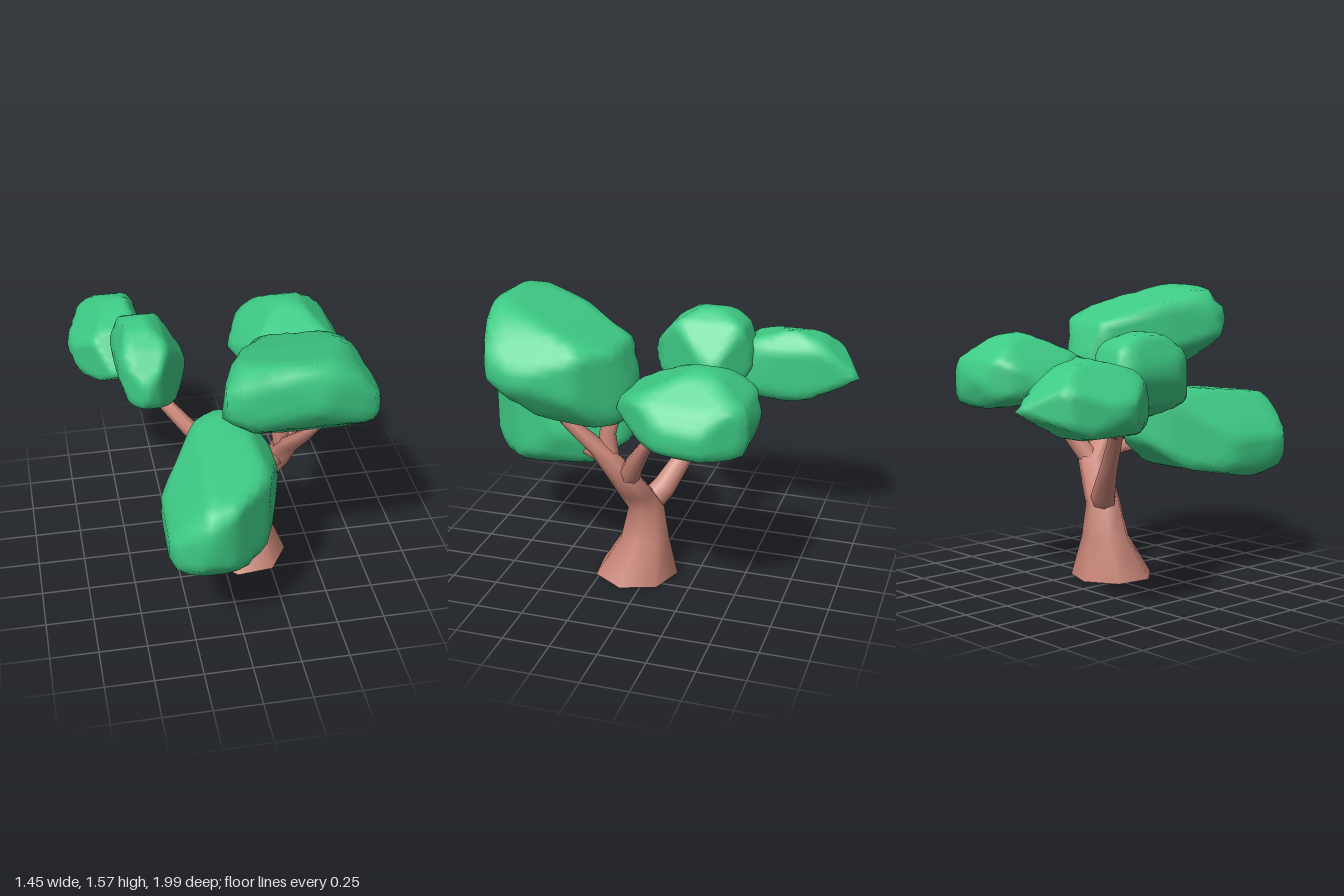
import * as THREE from 'three';
import { mergeVertices } from 'three/addons/utils/BufferGeometryUtils.js';

const bark = new THREE.MeshStandardMaterial({ color: 0xc98577, side: THREE.DoubleSide });
const leaf = new THREE.MeshStandardMaterial({ color: 0x3ecb85 });

// Tapered limb through [x, y, z, radius] stations, open at its foot; upright keeps its rings level
function limb(name, stations, upright = false) {
  const sides = 7;
  const pts = stations.map(s => new THREE.Vector3(s[0], s[1], s[2]));
  const up = new THREE.Vector3(0, 1, 0);
  const pos = [], idx = [];
  const last = pts.length - 1;
  pts.forEach((p, i) => {
    const dir = pts[Math.min(i + 1, last)].clone().sub(pts[Math.max(i - 1, 0)]).normalize();
    const q = new THREE.Quaternion().setFromUnitVectors(up, upright ? up : dir);
    for (let k = 0; k < sides; k++) {
      const a = ((k + 0.62) / sides) * Math.PI * 2;
      const r = stations[i][3];
      const v = new THREE.Vector3(Math.sin(a) * r, 0, Math.cos(a) * r).applyQuaternion(q).add(p);
      pos.push(v.x, v.y, v.z);
    }
  });
  for (let i = 0; i < last; i++) {
    for (let k = 0; k < sides; k++) {
      const a = i * sides + k, b = i * sides + (k + 1) % sides;
      idx.push(a, b, b + sides, a, b + sides, a + sides);
    }
  }
  // tip cap with its own corners, so the rim stays sharp
  const base = pos.length / 3;
  pos.push(...pos.slice(last * sides * 3));
  for (let k = 1; k < sides - 1; k++) idx.push(base, base + k, base + k + 1);

  const geo = new THREE.BufferGeometry();
  geo.setAttribute('position', new THREE.Float32BufferAttribute(pos, 3));
  geo.setIndex(idx);
  geo.computeVertexNormals();
  const mesh = new THREE.Mesh(geo, bark);
  mesh.name = name;
  return mesh;
}

// How far direction (u, v) from the centre reaches towards a convex outline (1 = on it)
function gauge(outline, cu, cv, u, v) {
  let g = 0;
  outline.forEach(([au, av], i) => {
    const [bu, bv] = outline[(i + 1) % outline.length];
    const nu = bv - av, nv = au - bu;
    g = Math.max(g, (nu * u + nv * v) / (nu * (au - cu) + nv * (av - cv)));
  });
  return g;
}

// Foliage clump: a ball fitted into a front (x,y), side (z,y) and top (x,z) outline
function clump(name, front, side, top) {
  const span = (o, k) => {
    const c = o.map(p => p[k]), lo = Math.min(...c), hi = Math.max(...c);
    return [(lo + hi) / 2, (hi - lo) / 2];
  };
  const [cx, sx] = span(front, 0), [cy, sy] = span(front, 1), [cz, sz] = span(side, 0);
  let geo = new THREE.IcosahedronGeometry(1, 7);
  geo.deleteAttribute('uv');
  geo.deleteAttribute('normal');
  geo = mergeVertices(geo, 1e-4);
  const p = geo.attributes.position;
  for (let i = 0; i < p.count; i++) {
    const x = p.getX(i) * sx, y = p.getY(i) * sy, z = p.getZ(i) * sz;
    const g = [gauge(front, cx, cy, x, y), gauge(side, cz, cy, z, y), gauge(top, cx, cz, x, z)];
    // rounds off the corners where the three outlines meet
    const soft = Math.cbrt(g.reduce((s, t) => s + t ** 3, 0) / 2.4);
    const r = 1 / Math.max(...g, soft);
    p.setXYZ(i, cx + x * r, cy + y * r, cz + z * r);
  }
  geo.computeVertexNormals();
  const mesh = new THREE.Mesh(geo, leaf);
  mesh.name = name;
  return mesh;
}

export function createModel() {
  const tree = new THREE.Group();
  tree.name = 'tree';

  // Trunk, running on into the front branch, and the other branches
  tree.add(
    limb('trunk', [[0.137, 0, 0.077, 0.226], [0.138, 0.22, 0.03, 0.132], [0.143, 0.4, 0.02, 0.098],
      [0.22, 0.51, 0.05, 0.095], [0.305, 0.63, 0.085, 0.085], [0.33, 0.77, 0.19, 0.068],
      [0.37, 0.9, 0.32, 0.05], [0.42, 1.05, 0.46, 0.018]], true),
    limb('frontFork', [[0.32, 0.7, 0.15, 0.05], [0.29, 0.86, 0.18, 0.045], [0.28, 1, 0.14, 0.038]]),
    limb('leftBranch', [[0.29, 0.6, 0.08, 0.06], [0.38, 0.74, 0.01, 0.05], [0.52, 0.99, -0.14, 0.022]]),
    limb('lowBranch', [[0.3, 0.64, 0.1, 0.05], [0.22, 0.69, 0.24, 0.038], [0.12, 0.69, 0.43, 0.012]]),
    limb('rightBranch', [[0.15, 0.4, 0.02, 0.072], [0.06, 0.48, -0.05, 0.065],
      [-0.1, 0.66, -0.15, 0.047], [-0.29, 0.86, -0.27, 0.035], [-0.42, 0.93, -0.46, 0.012]]),
    limb('rightFork', [[-0.28, 0.84, -0.27, 0.03], [-0.3, 0.9, -0.28, 0.03], [-0.31, 0.98, -0.27, 0.018]])
  );

  // Foliage
  tree.add(
    clump('topFoliage',
      [[-0.12, 1.42], [-0.1, 1.3], [0.2, 1.07], [0.36, 0.96], [0.5, 0.96], [0.59, 1.05], [0.71, 1.22],
        [0.69, 1.31], [0.57, 1.46], [0.44, 1.56], [0.23, 1.59], [0.1, 1.58], [0, 1.54]],
      [[0.78, 1.35], [0.75, 1.55], [0.7, 1.59], [0.35, 1.47], [0.08, 1.39], [0, 1.18], [0.03, 0.97],
        [0.2, 0.96], [0.45, 1.03], [0.7, 1.22]],
      [[-0.12, 0.71], [0.02, 0.38], [0.2, 0.05], [0.3, -0.02], [0.42, 0], [0.65, 0.22], [0.71, 0.5],
        [0.66, 0.68], [0.35, 0.78]]),
    clump('frontFoliage',
      [[-0.39, 0.6], [-0.29, 0.53], [0.05, 0.53], [0.16, 0.62], [0.22, 0.78], [0.2, 0.9], [0.09, 1.02],
        [-0.06, 1.05], [-0.17, 1.01], [-0.33, 0.83], [-0.39, 0.75]],
      [[1, 0.82], [0.97, 0.92], [0.9, 0.98], [0.4, 1.03], [0.2, 1.05], [0.1, 0.87], [0.12, 0.75],
        [0.3, 0.6], [0.7, 0.53], [0.88, 0.53], [0.97, 0.65]],
      [[-0.39, 0.9], [-0.2, 1], [-0.08, 0.95], [0.12, 0.75], [0.22, 0.5], [0.2, 0.3], [0.1, 0.11],
        [-0.07, 0.13], [-0.16, 0.2], [-0.38, 0.5]]),
    clump('leftFoliage',
      [[0.73, 1.08], [0.72, 0.97], [0.64, 0.92], [0.4, 0.94], [0.2, 1], [0.11, 1.07], [0.2, 1.18],
        [0.33, 1.3], [0.42, 1.34], [0.52, 1.31], [0.66, 1.19]],
      [[0.07, 1.08], [0.03, 1.17], [-0.1, 1.23], [-0.33, 1.34], [-0.45, 1.31], [-0.6, 1.2],
        [-0.64, 1.09], [-0.6, 0.95], [-0.45, 0.92], [-0.2, 0.95]],
      [[0.11, -0.36], [0.2, -0.55], [0.35, -0.64], [0.6, -0.62], [0.73, -0.42], [0.72, -0.2],
        [0.62, -0.05], [0.5, 0.06], [0.32, 0.06], [0.2, -0.15]]),
    clump('backFoliage',
      [[-0.73, 1], [-0.71, 1.07], [-0.53, 1.24], [-0.4, 1.27], [-0.33, 1.15], [-0.32, 0.95],
        [-0.36, 0.87], [-0.45, 0.87], [-0.67, 0.91]],
      [[-1, 1.03], [-0.78, 1.22], [-0.62, 1.27], [-0.4, 1.2], [-0.25, 1], [-0.4, 0.89],
        [-0.56, 0.87], [-0.7, 0.88]],
      [[-0.39, -1], [-0.34, -0.75], [-0.32, -0.4], [-0.45, -0.25], [-0.53, -0.27], [-0.7, -0.5],
        [-0.73, -0.62], [-0.64, -0.86]]),
    clump('rightFoliage',
      [[-0.52, 1.15], [-0.51, 1.22], [-0.46, 1.35], [-0.34, 1.37], [-0.26, 1.31], [-0.14, 1.12],
        [-0.13, 1.03], [-0.2, 0.9], [-0.3, 0.92], [-0.46, 1]],
      [[0.13, 1.08], [0.1, 1.17], [0, 1.29], [-0.12, 1.36], [-0.25, 1.37], [-0.38, 1.3],
        [-0.45, 1.1], [-0.35, 0.93], [-0.1, 0.9], [0.08, 1]],
      [[-0.38, 0.13], [-0.3, 0.07], [-0.14, -0.2], [-0.13, -0.27], [-0.3, -0.42], [-0.42, -0.45],
        [-0.52, -0.36], [-0.51, -0.05], [-0.48, 0.03]])
  );
  return tree;
}
